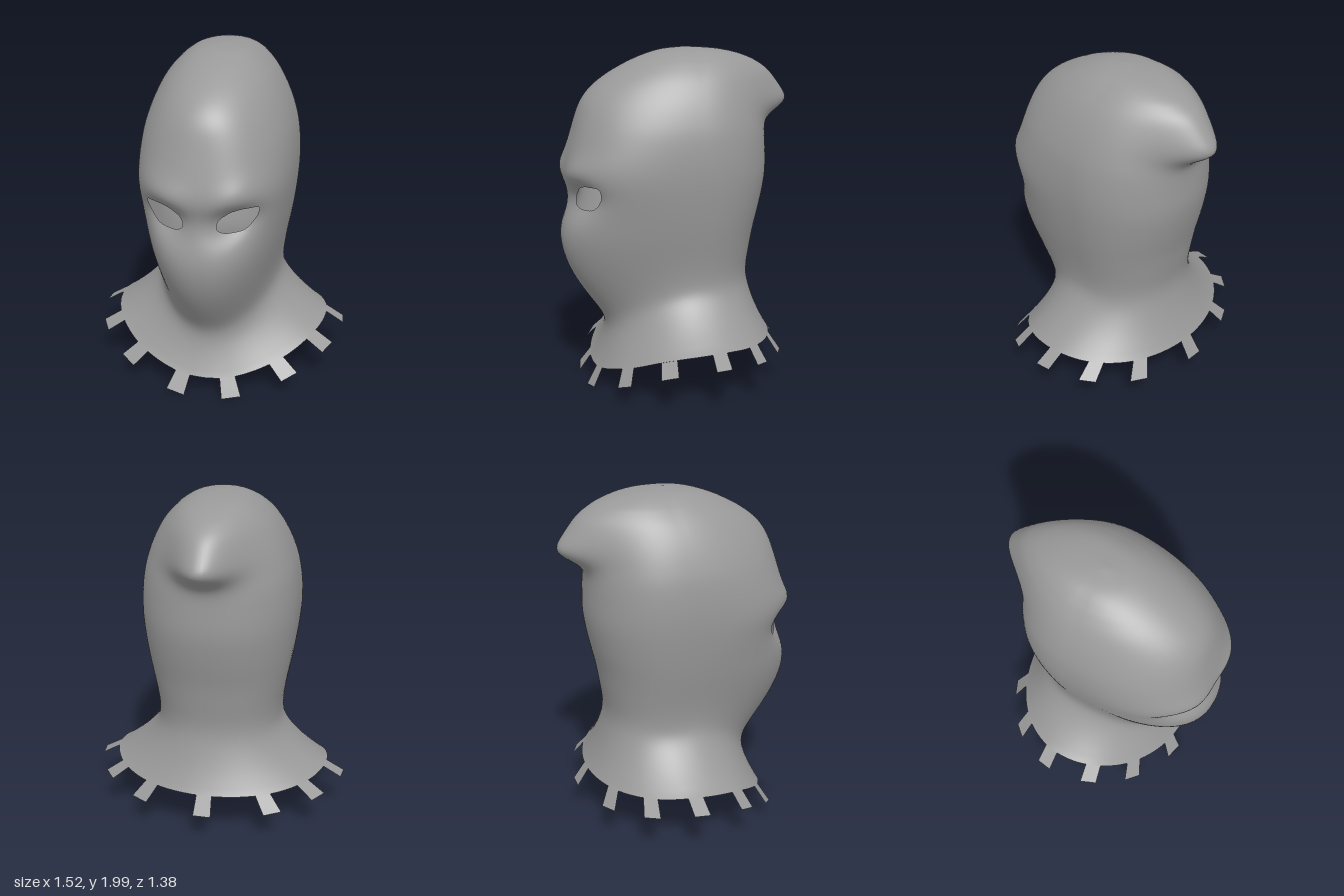
import * as THREE from 'three';
import { mergeVertices } from 'three/addons/utils/BufferGeometryUtils.js';

// Smooth curve through [x, y] points
function curve(points) {
  const last = points.length - 1;
  const slope = (i) => {
    const a = points[Math.max(i - 1, 0)], b = points[Math.min(i + 1, last)];
    return (b[1] - a[1]) / (b[0] - a[0]);
  };
  return (x) => {
    if (x <= points[0][0]) return points[0][1];
    if (x >= points[last][0]) return points[last][1];
    let i = 0;
    while (x > points[i + 1][0]) i++;
    const [x0, y0] = points[i], [x1, y1] = points[i + 1];
    const h = x1 - x0, s = (x - x0) / h, s2 = s * s, s3 = s2 * s;
    return y0 * (2 * s3 - 3 * s2 + 1) + y1 * (3 * s2 - 2 * s3)
      + h * (slope(i) * (s3 - 2 * s2 + s) + slope(i + 1) * (s3 - s2));
  };
}

// Head cross-sections: height, half width, front z, back z, squareness of the front
const SECTIONS = [
  [0.58, 0.375, 0.415, -0.44, 2], [0.68, 0.37, 0.53, -0.432, 2],
  [0.8, 0.385, 0.645, -0.45, 2.1], [0.93, 0.41, 0.7, -0.47, 2.25],
  [1.05, 0.43, 0.67, -0.5, 2.45], [1.17, 0.445, 0.65, -0.525, 2.7],
  [1.28, 0.454, 0.675, -0.54, 2.75], [1.4, 0.454, 0.65, -0.537, 2.6],
  [1.53, 0.441, 0.615, -0.53, 2.4], [1.62, 0.418, 0.59, -0.512, 2.25],
  [1.7, 0.39, 0.56, -0.49, 2.1], [1.78, 0.352, 0.5, -0.455, 2],
  [1.86, 0.3, 0.39, -0.4, 2], [1.93, 0.225, 0.25, -0.32, 2],
  [1.98, 0.135, 0.1, -0.22, 2], [2, 0, -0.06, -0.06, 2],
];
const columns = [0, 1, 2, 3, 4].map((k) => curve(SECTIONS.map((row, i) => [i, row[k]])));
const CENTRE_Z = -0.06;

// How far the drooping tip reaches back at each height
const tipReach = curve([[1.54, 0], [1.59, 0.055], [1.62, 0.13], [1.67, 0.205], [1.74, 0.192],
  [1.8, 0.178], [1.88, 0.168], [1.93, 0.135], [1.96, 0.1], [1.98, 0.06], [2, 0]]);

// Height of the collar's edge by angle from the front, in degrees
const edgeHeight = curve([[0, 0.105], [13, 0.115], [40, 0.2], [66, 0.29], [94, 0.325],
  [122, 0.31], [147, 0.295], [180, 0.29]]);

// Eye outline: radius by angle around the eye's centre
const EYE = [0.205, 1.175];
const eyeRadius = curve([[16, 0.11], [31, 0.128], [49, 0.092], [90, 0.062], [153, 0.068], [170, 0.086],
  [204, 0.121], [218, 0.114], [256, 0.082], [302, 0.076], [346, 0.083], [376, 0.11]]);

function eyeDistance(p) {
  if (p.z < 0.2) return 1;
  const dx = Math.abs(p.x) - EYE[0], dy = p.y - EYE[1];
  let angle = THREE.MathUtils.radToDeg(Math.atan2(dy, dx));
  if (angle < 16) angle += 360;
  return Math.hypot(dx, dy) - eyeRadius(angle);
}

const bump = (a, b) => Math.exp(-a * a - b * b);

// Point on the head: v runs up the sections, t runs round from the front to +x
function headPoint(v, t) {
  const [height, w, front, back, square] = columns.map((f) => f(v));
  const s = Math.sin(t), c = Math.cos(t);
  const n = c > 0 ? square : 2.2;
  const x = w * Math.sign(s) * Math.abs(s) ** (2 / n);
  let z = CENTRE_Z + (c > 0 ? front - CENTRE_Z : CENTRE_Z - back) * Math.sign(c) * Math.abs(c) ** (2 / n);
  // the throat dips at the front
  const y = height - 0.5 * Math.max(0, c) ** 2 * Math.max(0, 1 - height);
  const u = Math.abs(x);
  if (c > 0) {
    // brow ridges slanting down to the nose, and eye sockets
    const socket = 1.13 + 0.2 * u;
    z += 0.036 * bump((u - 0.2) / 0.13, (y - 1.245 - 0.28 * u) / 0.065);
    z -= 0.095 * bump((u - 0.2) / 0.12, (y - socket) / (y > socket ? 0.08 : 0.1));
  } else {
    const spread = THREE.MathUtils.mapLinear(y, 1.6, 2, 0.155, 0.26);
    z -= tipReach(y) * bump(x / spread, 0);
  }
  return new THREE.Vector3(x, y, z);
}

// Collar: a flare from the neck to its edge
function collarFrame(t) {
  const neck = headPoint(0, t), c = Math.cos(t);
  const degrees = THREE.MathUtils.radToDeg(Math.acos(c));
  const edge = new THREE.Vector3(0.655 * Math.sin(t), edgeHeight(degrees), -0.04 + (c > 0 ? 0.56 : 0.525) * c);
  const bend = neck.clone().lerp(edge, 0.4);
  bend.y = THREE.MathUtils.lerp(neck.y, edge.y, 0.62);
  return { neck, bend, edge };
}

function collarPoint(s, t) {
  const { neck, bend, edge } = collarFrame(t);
  return new THREE.QuadraticBezierCurve3(neck, bend, edge).getPoint(s);
}

// Softens the folds between rows, leaving the collar's edge and the crown as they are
function relaxRows(rows, passes) {
  for (let pass = 0; pass < passes; pass++) {
    const before = rows.map((row) => row.map((p) => p.clone()));
    for (let i = 2; i < rows.length - 14; i++) {
      rows[i].forEach((p, j) => {
        p.lerp(before[i - 1][j].clone().lerp(before[i + 1][j], 0.5), 0.5);
      });
    }
  }
}

// Cuts away the part of a triangle that lies inside an eye
function clipTriangle(corners) {
  const out = [];
  corners.forEach((p, i) => {
    const q = corners[(i + 1) % 3], dp = eyeDistance(p), dq = eyeDistance(q);
    if (dp >= 0) out.push(p);
    if (dp * dq < 0) out.push(p.clone().lerp(q, dp / (dp - dq)));
  });
  return out;
}

function hoodGeometry() {
  const around = 128, collarRows = 12, headRows = (SECTIONS.length - 1) * 6;
  const rows = [];
  for (let i = 0; i <= collarRows + headRows; i++) {
    const row = [];
    for (let j = 0; j <= around; j++) {
      const t = (j % around) / around * Math.PI * 2;
      row.push(i < collarRows ? collarPoint(1 - i / collarRows, t) : headPoint((i - collarRows) / 6, t));
    }
    rows.push(row);
  }
  relaxRows(rows, 10);
  const positions = [];
  for (let i = 0; i < rows.length - 1; i++) {
    for (let j = 0; j < around; j++) {
      const a = rows[i][j], b = rows[i][j + 1], c = rows[i + 1][j + 1], d = rows[i + 1][j];
      for (const triangle of [[a, b, c], [a, c, d]]) {
        const poly = clipTriangle(triangle);
        for (let k = 1; k < poly.length - 1; k++) {
          for (const p of [poly[0], poly[k], poly[k + 1]]) positions.push(p.x, p.y, p.z);
        }
      }
    }
  }
  let geometry = new THREE.BufferGeometry();
  geometry.setAttribute('position', new THREE.Float32BufferAttribute(positions, 3));
  geometry = mergeVertices(geometry);
  geometry.computeVertexNormals();
  return geometry;
}

// One square tab continuing the collar's slope
function tabGeometry(t) {
  const speed = Math.hypot(0.655 * Math.cos(t), 0.54 * Math.sin(t));
  const corners = [-1, 1].map((side) => {
    const { bend, edge } = collarFrame(t + side * 0.046 / speed);
    const tip = edge.clone().addScaledVector(edge.clone().sub(bend).normalize(), 0.122);
    return [edge, tip];
  });
  const [[a, d], [b, c]] = corners;
  const geometry = new THREE.BufferGeometry().setFromPoints([a, d, c, b]);
  geometry.setIndex([0, 1, 2, 0, 2, 3]);
  geometry.computeVertexNormals();
  return geometry;
}

export function createModel() {
  const model = new THREE.Group();
  model.name = 'hoodedMask';
  const cloth = new THREE.MeshStandardMaterial({ color: 0x999999, side: THREE.DoubleSide });

  const hood = new THREE.Mesh(hoodGeometry(), cloth);
  hood.name = 'hood';
  model.add(hood);

  // Tabs along the collar's edge: mirrored pairs and one at the back
  const tabs = new THREE.Group();
  tabs.name = 'collarTabs';
  const addTab = (name, degrees) => {
    const tab = new THREE.Mesh(tabGeometry(THREE.MathUtils.degToRad(degrees)), cloth);
    tab.name = name;
    tabs.add(tab);
  };
  for (const degrees of [12, 39, 65, 95, 123, 149]) {
    addTab('leftCollarTab', degrees);
    addTab('rightCollarTab', -degrees);
  }
  addTab('backCollarTab', 180);
  model.add(tabs);
  return model;
}
